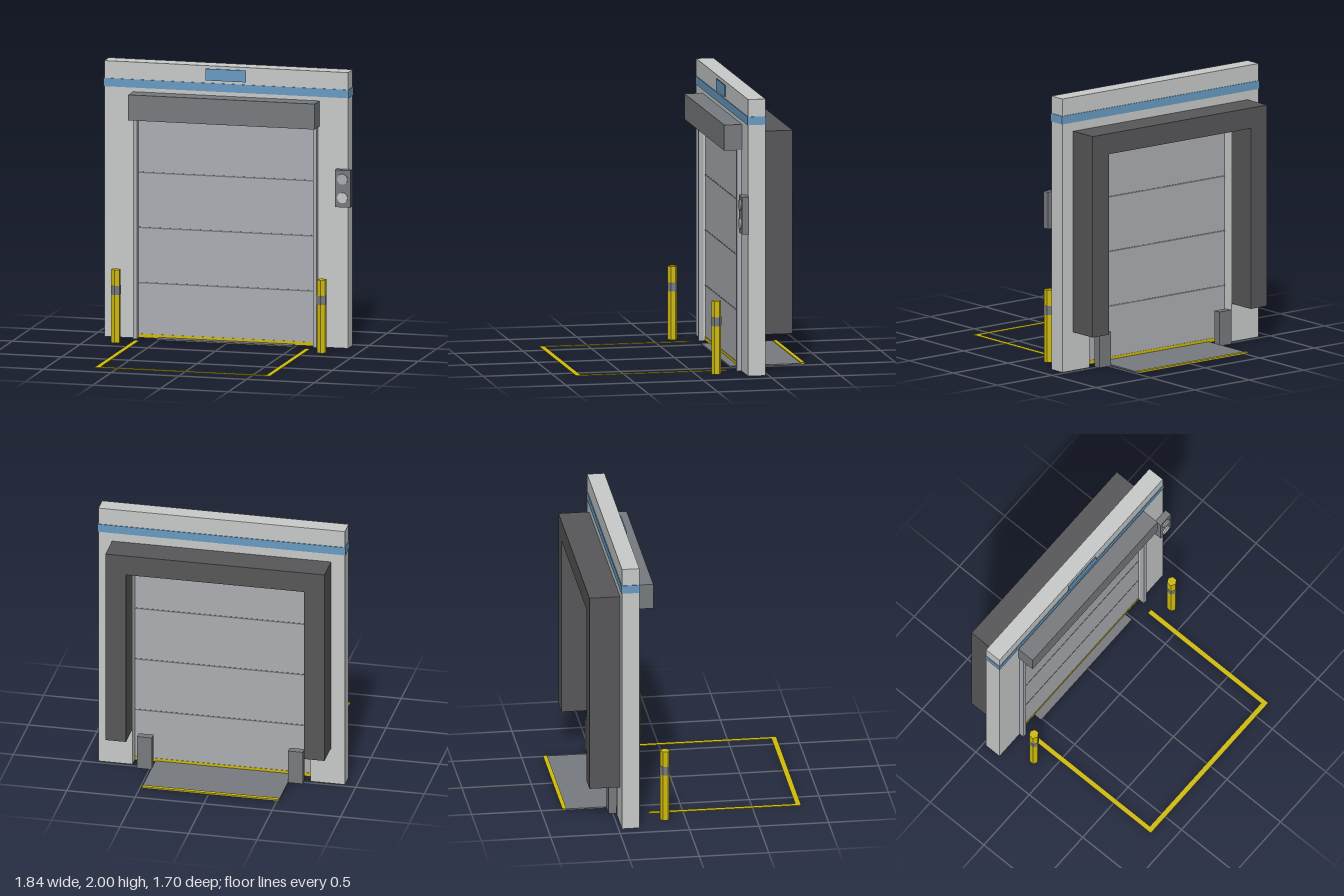
import * as THREE from 'three';

const material = (name, color) => {
  const m = new THREE.MeshStandardMaterial({ color });
  m.name = name;
  return m;
};

export function createModel() {
  const group = new THREE.Group();
  const wallGrey = material('wall grey', 0xc8caca);
  const doorGrey = material('door grey', 0xabaeb3);
  const steel = material('steel grey', 0x777a7e);
  const rubber = material('dark rubber', 0x575759);
  const yellow = material('safety yellow', 0xcfbb0c);
  const blue = material('blue', 0x699bc2);

  const CX = -0.015; // centre line of the doorway
  const HALF = 0.65; // half width of the doorway
  const TOP = 1.6; // height of the doorway

  const add = (name, geometry, mat) => {
    const mesh = new THREE.Mesh(geometry, mat);
    mesh.name = name;
    group.add(mesh);
    return mesh;
  };
  // Box given by its limits, with x measured from the doorway centre
  const box = (name, mat, x0, x1, y0, y1, z0, z1) => {
    const g = new THREE.BoxGeometry(x1 - x0, y1 - y0, z1 - z0);
    g.translate(CX + (x0 + x1) / 2, (y0 + y1) / 2, (z0 + z1) / 2);
    return add(name, g, mat);
  };
  // Upside-down U frame, extruded in z
  const portal = (name, mat, half, y0, y1, z0, z1) => {
    const points = [
      [-half, y0], [-HALF, y0], [-HALF, TOP], [HALF, TOP],
      [HALF, y0], [half, y0], [half, y1], [-half, y1],
    ].map(([x, y]) => new THREE.Vector2(x, y));
    const g = new THREE.ExtrudeGeometry(new THREE.Shape(points), { depth: z1 - z0, bevelEnabled: false });
    g.translate(CX, 0, z0);
    return add(name, g, mat);
  };

  // Wall, stripe and sign panel
  portal('wall', wallGrey, 0.9, 0, 2, -0.475, -0.35);
  box('wallStripe', blue, -0.905, 0.905, 1.815, 1.875, -0.48, -0.345);
  box('signPanel', blue, -0.15, 0.15, 1.895, 1.98, -0.342, -0.335);

  // Dock shelter on the back
  portal('dockShelter', rubber, 0.8, 0.28, 1.75, -0.695, -0.475);

  // Sectional door with seams and bottom seal
  box('doorPanel', doorGrey, -HALF, HALF, 0.03, TOP, -0.4, -0.365);
  for (const y of [0.4, 0.8, 1.2]) {
    box('doorSeam', steel, -HALF, HALF, y - 0.005, y + 0.005, -0.402, -0.363);
  }
  box('doorBottomSeal', yellow, -HALF, HALF, 0.002, 0.03, -0.403, -0.362);

  // Shutter housing
  box('shutterHousing', steel, -0.688, 0.688, TOP, 1.785, -0.35, -0.22);

  // Dock leveller with marked lip
  box('leveller', steel, -0.5, 0.5, 0, 0.01, -0.845, -0.3);
  box('levellerLip', yellow, -0.5, 0.5, 0.007, 0.015, -0.85, -0.82);

  for (const s of [-1, 1]) {
    const sideBox = (name, mat, a, b, ...rest) =>
      box(name, mat, Math.min(s * a, s * b), Math.max(s * a, s * b), ...rest);
    sideBox('guideRail', doorGrey, HALF, 0.678, 0, TOP, -0.35, -0.315);
    sideBox('dockBumper', steel, 0.497, 0.605, 0, 0.25, -0.53, -0.475);
    sideBox('floorLineSide', yellow, 0.612, 0.648, 0, 0.004, -0.245, 0.85);

    // Hexagonal bollard with a grey band
    const x = CX + s * 0.76;
    add('bollard', new THREE.CylinderGeometry(0.035, 0.035, 0.53, 6).toNonIndexed(), yellow)
      .position.set(x, 0.265, -0.147);
    add('bollardBand', new THREE.CylinderGeometry(0.037, 0.037, 0.065, 6).toNonIndexed(), steel)
      .position.set(x, 0.382, -0.147);
  }
  box('floorLineFront', yellow, -0.612, 0.612, 0, 0.004, 0.812, 0.85);

  // Signal box with two lamps
  box('signalBox', steel, 0.817, 0.93, 1.03, 1.3, -0.35, -0.3);
  for (const [y, mat] of [[1.235, doorGrey], [1.1, wallGrey]]) {
    const lamp = add('signalLamp', new THREE.CylinderGeometry(0.038, 0.038, 0.01, 20), mat);
    lamp.rotation.x = Math.PI / 2;
    lamp.position.set(0.858, y, -0.295);
  }

  // Crisp facets on the bollards
  group.traverse((o) => {
    if (o.name.startsWith('bollard')) o.geometry.computeVertexNormals();
  });
  return group;
}
